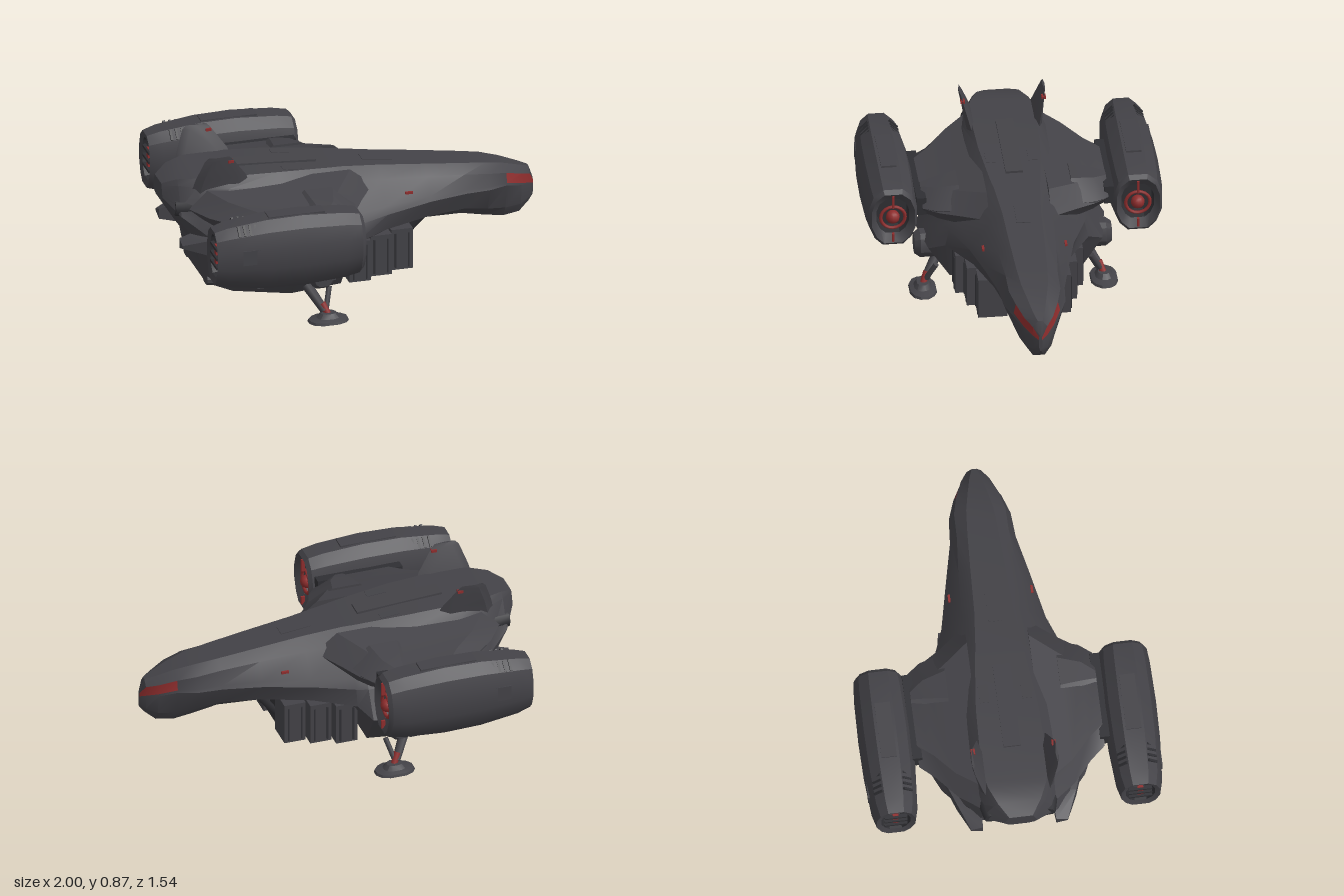
import * as THREE from 'three';
import { toCreasedNormals, mergeGeometries } from 'three/addons/utils/BufferGeometryUtils.js';

const mat = (name, color) => {
  const m = new THREE.MeshStandardMaterial({ color });
  m.name = name;
  return m;
};

// Skin a list of closed rings of [x, y, z]; paint(i, j) true puts a quad in the second group.
function loft(rings, paint = () => false) {
  const n = rings[0].length, plain = [], painted = [];
  const mid = r => [0, 1, 2].map(k => r.reduce((s, p) => s + p[k], 0) / n);
  for (let i = 0; i < rings.length - 1; i++) {
    for (let j = 0; j < n; j++) {
      const a = rings[i][j], b = rings[i][(j + 1) % n];
      const c = rings[i + 1][(j + 1) % n], d = rings[i + 1][j];
      (paint(i, j) ? painted : plain).push([a, b, c], [a, c, d]);
    }
  }
  const first = rings[0], last = rings[rings.length - 1], m0 = mid(first), m1 = mid(last);
  for (let j = 0; j < n; j++) {
    const k = (j + 1) % n;
    (paint(-1, j) ? painted : plain).push([m0, first[k], first[j]]);
    (paint(rings.length, j) ? painted : plain).push([m1, last[j], last[k]]);
  }
  const tris = [...plain, ...painted];
  const v = p => new THREE.Vector3(...p);
  const volume = tris.reduce((s, [a, b, c]) => s + v(a).dot(v(b).cross(v(c))), 0);
  const flat = tris.flatMap(([a, b, c]) => (volume < 0 ? [a, c, b] : [a, b, c])).flat();
  const g = new THREE.BufferGeometry();
  g.setAttribute('position', new THREE.Float32BufferAttribute(flat, 3));
  const out = toCreasedNormals(g, 0.45);
  out.addGroup(0, plain.length * 3, 0);
  if (painted.length) out.addGroup(plain.length * 3, painted.length * 3, 1);
  return out;
}

// Mirror a geometry across the centre plane and restore its winding.
function mirrorZ(geo) {
  const g = geo.index ? geo.toNonIndexed() : geo.clone();
  for (const name of ['position', 'normal']) {
    const a = g.attributes[name];
    for (let i = 0; i < a.count; i += 3) {
      const t = [0, 2, 1].map(k => [a.getX(i + k), a.getY(i + k), -a.getZ(i + k)]);
      t.forEach((p, k) => a.setXYZ(i + k, ...p));
    }
  }
  return g;
}

const box = (x, y, z, w, h, d, rx = 0, rz = 0) =>
  new THREE.BoxGeometry(w, h, d).rotateX(rx).rotateZ(rz).translate(x, y, z);

// Faceted rod from a to b.
function rod(a, b, r0, r1, sides = 8) {
  const p = new THREE.Vector3(...a), q = new THREE.Vector3(...b), d = q.clone().sub(p);
  const g = new THREE.CylinderGeometry(r1, r0, d.length(), sides);
  g.applyQuaternion(new THREE.Quaternion().setFromUnitVectors(new THREE.Vector3(0, 1, 0), d.normalize()));
  return g.translate(...p.add(q).multiplyScalar(0.5).toArray());
}

// Hull ring from its roof, widest, chin and keel points; brow and sill lie between roof and widest.
function hullRing([x, rz, ry, wz, wy, cz, cy, kz, ky]) {
  const u = (x + 1) / 2;
  const between = (tz, ty) => [x, ry + (wy - ry) * ty, rz + (wz - rz) * tz];
  const half = [[x, ry, rz], between(0.25 + 0.7 * u ** 3, 0.15 + 0.2 * u),
    between(0.75 + 0.2 * u, 0.74 + 0.15 * u), [x, wy, wz], [x, cy, cz], [x, ky, kz]];
  return [...half, ...half.slice().reverse().map(([a, y, z]) => [a, y, -z])];
}

export function createModel() {
  const model = new THREE.Group();
  model.name = 'dropship';
  const hullGrey = mat('hull grey', 0x434247);
  const trim = mat('dark trim', 0x2f2f33);
  const red = mat('red glow', 0x8e2d2d);

  const add = (name, geo, material) => {
    const m = new THREE.Mesh(geo, material);
    m.name = name;
    model.add(m);
  };
  const pair = (name, geo, material) => {
    add(name + 'Left', geo, material);
    add(name + 'Right', mirrorZ(geo), material);
  };

  // Hull from nose to tail; the visor is the band between brow and sill
  const hull = [
    [1, 0.003, 0.455, 0.008, 0.42, 0.008, 0.38, 0.003, 0.36],
    [0.975, 0.012, 0.525, 0.04, 0.43, 0.035, 0.36, 0.012, 0.33],
    [0.92, 0.03, 0.545, 0.08, 0.45, 0.065, 0.34, 0.03, 0.285],
    [0.83, 0.05, 0.575, 0.125, 0.48, 0.09, 0.34, 0.05, 0.28],
    [0.73, 0.07, 0.598, 0.16, 0.48, 0.11, 0.355, 0.06, 0.3],
    [0.6, 0.08, 0.615, 0.17, 0.48, 0.13, 0.38, 0.07, 0.33],
    [0.4, 0.09, 0.64, 0.215, 0.48, 0.17, 0.38, 0.09, 0.34],
    [0.15, 0.1, 0.67, 0.27, 0.46, 0.25, 0.37, 0.12, 0.33],
    [-0.06, 0.12, 0.695, 0.35, 0.45, 0.37, 0.36, 0.28, 0.3],
    [-0.12, 0.13, 0.7, 0.37, 0.45, 0.45, 0.31, 0.34, 0.14],
    [-0.4, 0.16, 0.722, 0.38, 0.45, 0.49, 0.29, 0.38, 0.135],
    [-0.68, 0.17, 0.735, 0.33, 0.45, 0.37, 0.33, 0.28, 0.14],
    [-0.8, 0.16, 0.735, 0.28, 0.45, 0.27, 0.34, 0.2, 0.165],
    [-0.84, 0.15, 0.735, 0.25, 0.48, 0.22, 0.4, 0.12, 0.36],
    [-0.93, 0.11, 0.725, 0.2, 0.55, 0.15, 0.51, 0.1, 0.48],
    [-1, 0.06, 0.69, 0.085, 0.62, 0.07, 0.6, 0.04, 0.59],
  ].map(hullRing);
  add('hullWithVisor', loft(hull, (i, j) => i >= 0 && i <= 2 && (j === 1 || j === 9)), [hullGrey, red]);

  // Wings joining the nacelles
  const wingRing = (z, x0, x1, y0, y1) => [
    [x0, (y0 + y1) / 2, z], [x0 + 0.1, y1, z], [x1 - 0.12, y1, z],
    [x1, (y0 + y1) / 2, z], [x1 - 0.06, y0, z], [x0 + 0.08, y0, z]];
  pair('wing', loft([
    wingRing(0.16, -0.92, 0.1, 0.5, 0.69), wingRing(0.3, -0.81, 0.0, 0.49, 0.65),
    wingRing(0.4, -0.69, -0.06, 0.49, 0.625), wingRing(0.48, -0.62, -0.11, 0.51, 0.61)]), hullGrey);
  pair('wingShoulder', loft([
    wingRing(0.29, -0.4, -0.03, 0.5, 0.665), wingRing(0.41, -0.38, -0.06, 0.5, 0.64),
    wingRing(0.48, -0.37, -0.11, 0.5, 0.62)]), hullGrey);
  pair('wingCollar', box(-0.36, 0.56, 0.485, 0.46, 0.1, 0.05), trim);

  // Engine nacelles, hollowed at both ends
  const corners = [[0.4, 1], [0.8, 0.74], [1, 0.3], [1, -0.28], [0.76, -0.74], [0.42, -1]];
  const outline = [...corners, ...corners.slice().reverse().map(([z, y]) => [-z, y])];
  const podRing = ([x, h, w]) => outline.map(([z, y]) => [x, 0.515 + y * h, 0.633 + z * w]);
  pair('nacelle', loft([
    [-0.2, 0.09, 0.08], [-0.13, 0.1, 0.085], [-0.1, 0.145, 0.112], [-0.12, 0.165, 0.125],
    [-0.2, 0.18, 0.132], [-0.42, 0.195, 0.137], [-0.62, 0.19, 0.133], [-0.82, 0.165, 0.118],
    [-0.89, 0.145, 0.1], [-0.88, 0.11, 0.075], [-0.8, 0.1, 0.07]].map(podRing),
  i => i < 1 || i >= 9), [hullGrey, trim]);
  pair('intakeHub', new THREE.SphereGeometry(0.036, 12, 8).translate(-0.13, 0.51, 0.633), red);
  pair('intakeRing', new THREE.TorusGeometry(0.063, 0.009, 6, 20).rotateY(Math.PI / 2).translate(-0.125, 0.51, 0.633), red);
  pair('intakeStripes', mergeGeometries([
    box(-0.108, 0.613, 0.633, 0.02, 0.07, 0.012), box(-0.108, 0.4, 0.633, 0.02, 0.045, 0.012)]), red);
  pair('exhaustGlow', box(-0.86, 0.515, 0.633, 0.03, 0.12, 0.03), red);
  pair('exhaustVanes', mergeGeometries([-0.05, 0, 0.05].map(d => box(-0.875, 0.515 + d, 0.633, 0.02, 0.014, 0.12))), trim);
  const louvres = [-0.77, -0.74, -0.71, -0.68].flatMap(x => [1, -1].map(s =>
    box(x, 0.663, 0.633 + s * 0.073, 0.012, 0.02, 0.06, s * 0.8)));
  pair('nacelleLouvres', mergeGeometries(louvres), trim);
  pair('nacelleSidePanel', box(-0.7, 0.535, 0.755, 0.12, 0.08, 0.012), hullGrey);
  pair('nacelleTopPlate', box(-0.45, 0.706, 0.633, 0.3, 0.012, 0.08), hullGrey);
  pair('nacelleKeel', box(-0.45, 0.325, 0.633, 0.42, 0.02, 0.07), hullGrey);

  // Canted tail fins with a red tip marker
  const finRing = (y, x0, x1, z, t) => [[x0, y, z], [x0 + 0.04, y, z + t], [x1 - 0.06, y, z + t],
    [x1, y, z], [x1 - 0.06, y, z - t], [x0 + 0.04, y, z - t]];
  pair('tailFin', loft([finRing(0.66, -0.87, -0.55, 0.16, 0.028), finRing(0.74, -0.85, -0.58, 0.18, 0.02),
    finRing(0.85, -0.81, -0.66, 0.212, 0.01), finRing(0.87, -0.79, -0.68, 0.217, 0.006)]), hullGrey);
  pair('finMarker', box(-0.672, 0.838, 0.209, 0.03, 0.014, 0.022), red);

  // Swept winglets and thrusters under the tail
  const wingletRing = (x, z0, z1, y0, y1) => [[x, y1, z0], [x, y1 - 0.02, z1], [x, y0 + 0.02, z1], [x, y0, z0]];
  pair('tailWinglet', loft([wingletRing(-0.94, 0.19, 0.25, 0.375, 0.43),
    wingletRing(-0.8, 0.18, 0.31, 0.34, 0.47), wingletRing(-0.6, 0.26, 0.38, 0.35, 0.45)]), hullGrey);
  pair('tailThruster', rod([-0.85, 0.58, 0.15], [-0.95, 0.58, 0.14], 0.06, 0.045), trim);

  // Roof spine and panels
  add('roofSpine', box(-0.4, 0.715, 0, 0.46, 0.03, 0.09, 0, -0.06), hullGrey);
  add('roofHatch', box(0.16, 0.666, 0, 0.16, 0.012, 0.07, 0, -0.11), hullGrey);
  pair('roofVent', box(-0.32, 0.712, 0.11, 0.1, 0.012, 0.05, 0, -0.08), hullGrey);
  pair('hullMarker', box(0.28, 0.545, 0.214, 0.04, 0.012, 0.012), red);

  // Cargo containers slung under the belly, stepping outward toward the rear
  const crates = [], ribs = [];
  for (let i = 0; i < 3; i++) {
    const x = -0.015 + i * 0.125, width = 0.24 - i * 0.045;
    crates.push(box(x, 0.245, 0.09 + width / 2, 0.115, 0.225, width));
    for (const d of [-0.035, 0.035]) ribs.push(box(x + d, 0.24, 0.09 + width / 2, 0.008, 0.19, width + 0.01));
  }
  pair('cargoContainers', mergeGeometries(crates), hullGrey);
  pair('containerRibs', mergeGeometries(ribs), trim);
  add('bellyKeel', box(0.08, 0.24, 0, 0.4, 0.18, 0.18), trim);
  pair('bellyBrace', rod([0.27, 0.2, 0.03], [0.39, 0.36, 0.09], 0.02, 0.02, 6), trim);
  pair('bellyPod', loft([[-0.8, 0.03, 0.05], [-0.65, 0.05, 0.08], [-0.3, 0.055, 0.09], [-0.14, 0.04, 0.06]]
    .map(([x, h, w]) => outline.map(([z, y]) => [x, 0.185 + y * h, 0.18 + z * w]))), hullGrey);

  // Landing legs
  const housingRing = ([z, g]) => outline.map(([a, b]) => [-0.26 + a * g, 0.26 + b * g, z]);
  pair('legHousing', loft([[0.4, 0.07], [0.48, 0.07], [0.51, 0.05]].map(housingRing)), hullGrey);
  pair('legStrut', mergeGeometries([
    rod([-0.32, 0.18, 0.37], [-0.24, 0.05, 0.455], 0.028, 0.022),
    rod([-0.2, 0.16, 0.4], [-0.23, 0.06, 0.45], 0.014, 0.014)]), hullGrey);
  pair('legPiston', rod([-0.25, 0.09, 0.445], [-0.225, 0.035, 0.465], 0.018, 0.018), red);
  pair('foot', loft([[0, 0.105, 0.07], [0.013, 0.1, 0.066], [0.022, 0.06, 0.045], [0.045, 0.04, 0.03]]
    .map(([y, w, d]) => outline.map(([a, b]) => [-0.225 + a * w, y, 0.468 + b * d]))), hullGrey);

  return model;
}
